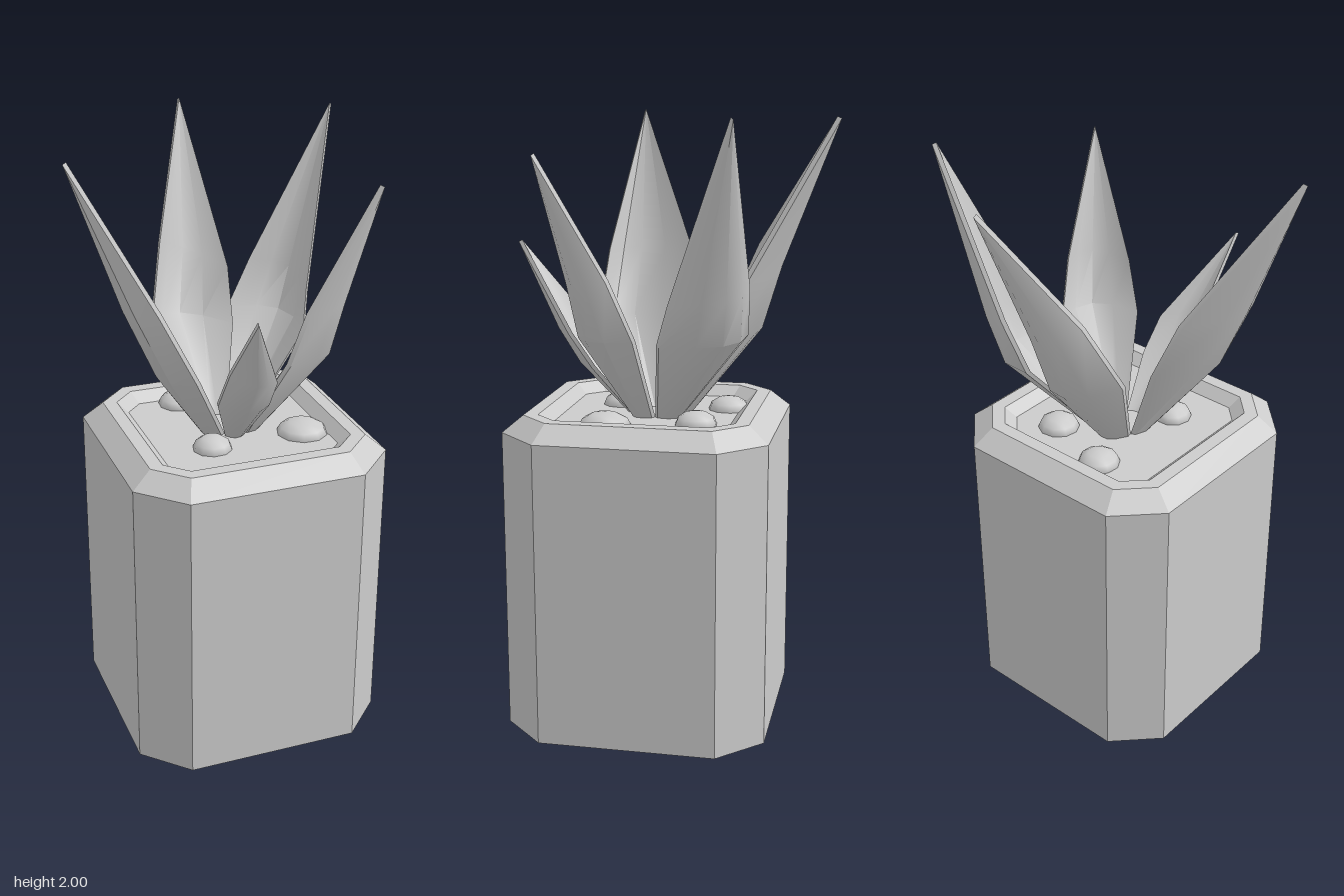
import * as THREE from 'three';
import { toCreasedNormals } from 'three/addons/utils/BufferGeometryUtils.js';

const V = (p) => new THREE.Vector3(...p);

// Skin a stack of closed loops (equal point counts, listed upwards)
function loft(rows, crease) {
  const n = rows[0].length;
  const index = [];
  for (let r = 0; r < rows.length - 1; r++) {
    for (let i = 0; i < n; i++) {
      const a = r * n + i, b = r * n + (i + 1) % n;
      index.push(a, a + n, b, b, a + n, b + n);
    }
  }
  const geo = new THREE.BufferGeometry().setFromPoints(rows.flat());
  geo.setIndex(index);
  geo.computeVertexNormals();
  return toCreasedNormals(geo, crease);
}

// Square ring with cut corners, centred on the pot axis
function potRing([half, cut, y]) {
  const s = half - cut;
  return [[half, -s], [half, s], [s, half], [-s, half], [-half, s], [-half, -s], [-s, -half], [s, -half]]
    .map(([x, z]) => new THREE.Vector3(x + 0.04, y, z + 0.065));
}

// Cupped thin leaf: a and b are its two edges, each [base, shoulder, mid], meeting at the tip
function leafGeometry(a, b, tip) {
  const A = [...a, tip].map(V), B = [...b, tip].map(V);
  const out = A[1].clone().add(B[1]).sub(A[0]).sub(B[0]).setY(0).normalize();
  const thick = out.clone().multiplyScalar(0.014).setY(-0.006);
  const steps = 4;
  const rows = A.map((p, r) => {
    const bulge = p.distanceTo(B[r]) * 0.35;
    const inner = [];
    for (let i = 0; i <= steps; i++) {
      const t = i / steps;
      inner.push(p.clone().lerp(B[r], t).addScaledVector(out, 4 * t * (1 - t) * bulge));
    }
    return [...inner, ...inner.map((q) => q.clone().add(thick)).reverse()];
  });
  return loft(rows, 0.7);
}

export function createModel() {
  const group = new THREE.Group();
  const grey = new THREE.MeshStandardMaterial({ color: 0xcccccc });
  const leafMat = new THREE.MeshStandardMaterial({ color: 0xcccccc, side: THREE.DoubleSide });
  const add = (name, geo, mat = grey) => {
    const mesh = new THREE.Mesh(geo, mat);
    mesh.name = name;
    group.add(mesh);
    return mesh;
  };

  // Pot: base, walls, bevelled rim and sunken lip [half size, corner cut, height]
  add('pot', loft([
    [0, 0, 0], [0.43, 0.14, 0], [0.43, 0.14, 1], [0.365, 0.1, 1.055],
    [0.32, 0.07, 1.055], [0.285, 0.055, 1.02],
  ].map(potRing), 0.3));

  // Soil
  add('soil', loft([[0.29, 0.055, 1.02], [0, 0, 1.02]].map(potRing), 0.3));

  // Leaves around a five-cornered crown
  const y0 = 1.02;
  const crown = [[-0.035, y0, 0.01], [0.005, y0, 0.1], [0.065, y0, 0.11], [0.105, y0, 0.04], [0.06, y0, -0.03]];
  const leaves = [
    { name: 'rightLeaf', tip: [-0.515, 2, 0.2],
      a: [[-0.15, 1.31, -0.03], [-0.25, 1.53, -0.02]], b: [[-0.145, 1.3, 0.29], [-0.26, 1.53, 0.275]] },
    { name: 'frontLeaf', tip: [-0.055, 1.575, 0.53],
      a: [[-0.08, 1.21, 0.26], [-0.067, 1.34, 0.33]], b: [[0.102, 1.18, 0.24], [0.095, 1.29, 0.32]] },
    { name: 'frontLeftLeaf', tip: [0.405, 1.885, 0.345],
      a: [[0.15, 1.31, 0.265], [0.205, 1.48, 0.285]], b: [[0.31, 1.31, 0.06], [0.345, 1.5, 0.135]] },
    { name: 'backLeftLeaf', tip: [0.51, 1.995, -0.265],
      a: [[0.325, 1.3, -0.01], [0.35, 1.43, -0.05]], b: [[0.15, 1.32, -0.265], [0.235, 1.48, -0.28]] },
    { name: 'backLeaf', tip: [0.07, 1.99, -0.53],
      a: [[0.142, 1.285, -0.19], [0.143, 1.47, -0.245]], b: [[-0.155, 1.34, -0.16], [-0.09, 1.575, -0.27]] },
  ];
  leaves.forEach(({ name, tip, a, b }, i) => {
    add(name, leafGeometry([crown[i], ...a], [crown[(i + 1) % 5], ...b], tip), leafMat);
  });

  // Pebbles on the soil [x, z, radius]
  [[0.25, 0.175, 0.085], [-0.07, 0.19, 0.065], [0.18, -0.11, 0.07], [-0.06, -0.18, 0.07]].forEach(([x, z, r], i) => {
    const pebble = add('pebble' + (i + 1), new THREE.SphereGeometry(r, 10, 6));
    pebble.scale.y = 0.045 / r;
    pebble.position.set(x, 1.02, z);
    pebble.rotation.y = i * 0.7;
  });

  return group;
}
